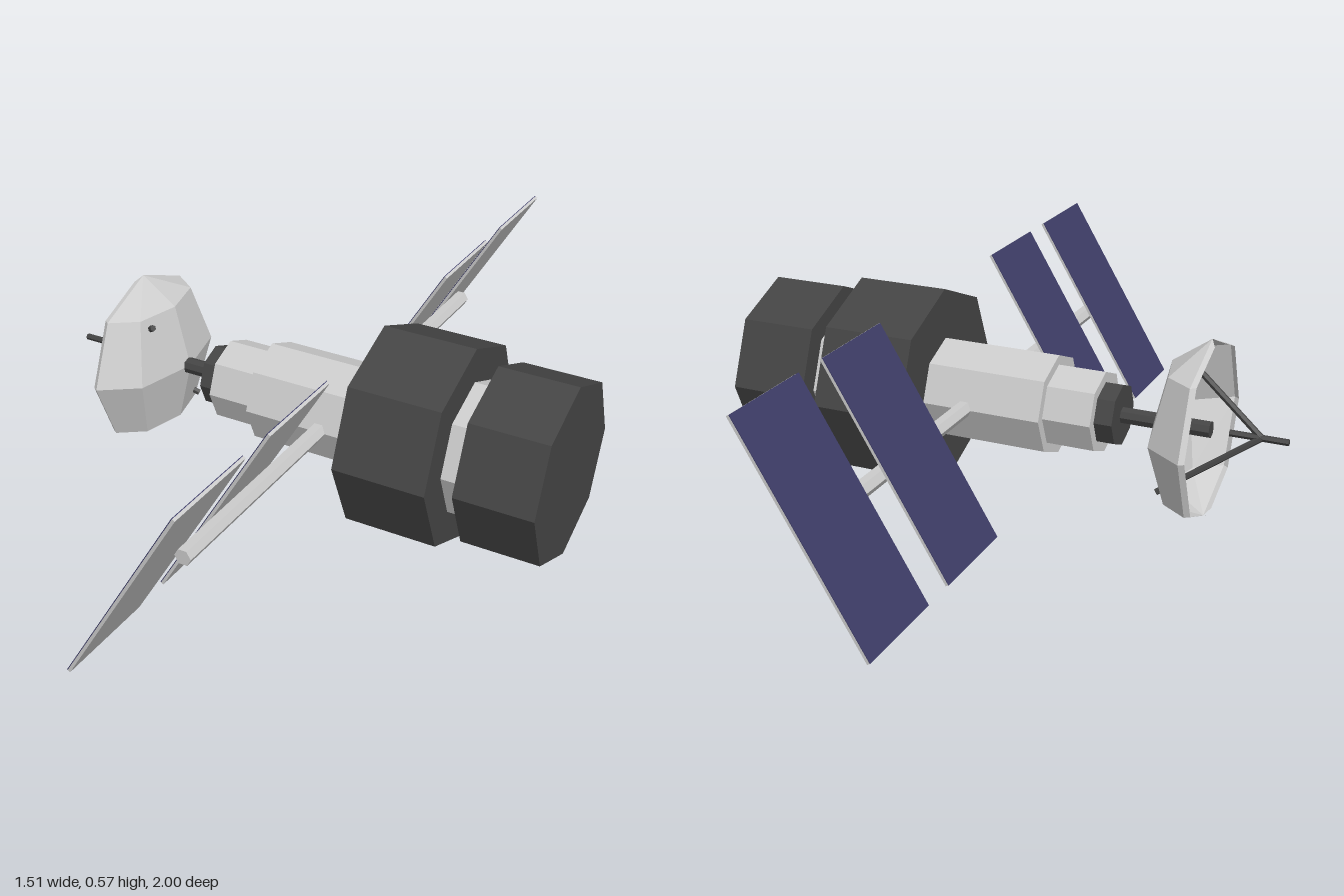
import * as THREE from 'three';

const AXIS_Y = 0.283;
const mat = (color, side = THREE.FrontSide) =>
  new THREE.MeshStandardMaterial({ color, side, flatShading: true });
const grey = mat(0xcccccc);
const dark = mat(0x444444);
const blue = mat(0x3d3c66);

function add(parent, name, geometry, material) {
  const mesh = new THREE.Mesh(geometry, material);
  mesh.name = name;
  parent.add(mesh);
  return mesh;
}

// Prism along x from x0 to x1, with corners pointing up and sideways
function drum(parent, name, x0, x1, radius, material, sides = 8) {
  const g = new THREE.CylinderGeometry(radius, radius, x1 - x0, sides);
  g.rotateZ(Math.PI / 2).translate((x0 + x1) / 2, 0, 0);
  return add(parent, name, g, material);
}

// Thin bar between two points
function bar(parent, name, a, b, radius, material) {
  const dir = b.clone().sub(a);
  const m = add(parent, name, new THREE.CylinderGeometry(radius, radius, dir.length(), 6), material);
  m.position.copy(a).addScaledVector(dir, 0.5);
  m.quaternion.setFromUnitVectors(new THREE.Vector3(0, 1, 0), dir.normalize());
  return m;
}

// Coarse half ellipsoid with upright poles, running a little past its middle to a flat-cut rim
function dishGeometry(cx, depth, radius, rimX) {
  const point = (lat, lon) => new THREE.Vector3(
    cx + depth * Math.cos(lat) * Math.cos(lon),
    radius * Math.sin(lat),
    radius * Math.cos(lat) * Math.sin(lon));
  const step = Math.PI / 4;
  const rows = [];
  for (let i = -2; i <= 2; i++) {
    const row = [];
    for (let j = -3; j <= 3; j++) {
      if (Math.abs(j) < 3) {
        row.push(point(i * step, j * step));
        continue;
      }
      // Rim corner: where the next edge meets the cut
      const inner = point(i * step, Math.sign(j) * 2 * step);
      const outer = point(Math.abs(i) === 2 ? Math.sign(i) * step : i * step, j * step);
      row.push(inner.clone().lerp(outer, (rimX - inner.x) / (outer.x - inner.x)));
    }
    rows.push(row);
  }
  const pos = [];
  const tri = (...p) => p.forEach((v) => pos.push(v.x, v.y, v.z));
  for (let i = 0; i < 4; i++) {
    for (let j = 0; j < 6; j++) {
      const a = rows[i][j], b = rows[i][j + 1], c = rows[i + 1][j + 1], d = rows[i + 1][j];
      if (a.distanceTo(b) > 1e-5) tri(a, c, b);
      if (c.distanceTo(d) > 1e-5) tri(a, d, c);
    }
  }
  const g = new THREE.BufferGeometry();
  g.setAttribute('position', new THREE.Float32BufferAttribute(pos, 3));
  g.computeVertexNormals();
  return g;
}

export function createModel() {
  const model = new THREE.Group();
  model.name = 'satellite';
  const craft = new THREE.Group();
  craft.name = 'craft';
  craft.position.y = AXIS_Y;
  model.add(craft);

  // Stepped octagonal body
  drum(craft, 'endModule', 0.54, 0.757, 0.25, dark);
  drum(craft, 'moduleCollar', 0.48, 0.54, 0.187, grey);
  drum(craft, 'mainModule', 0.22, 0.48, 0.283, dark);
  drum(craft, 'body', -0.12, 0.22, 0.142, grey);
  drum(craft, 'noseSection', -0.255, -0.12, 0.115, grey);
  drum(craft, 'noseRing', -0.305, -0.255, 0.086, dark);
  drum(craft, 'dishNeck', -0.55, -0.305, 0.023, dark);

  // Dish antenna with its feed and struts
  add(craft, 'dish', dishGeometry(-0.541, 0.147, 0.25, -0.555), mat(0xcccccc, THREE.DoubleSide));
  drum(craft, 'feed', -0.757, -0.6, 0.009, dark, 6);
  for (const s of [1, -1]) {
    bar(craft, 'feedStrut', new THREE.Vector3(-0.685, 0, 0),
      new THREE.Vector3(-0.44, s * 0.155, s * 0.105), 0.009, dark);
  }

  // Solar wings on both sides
  const tilt = Math.atan2(0.54, 0.325);
  for (const s of [1, -1]) {
    const wing = new THREE.Group();
    wing.name = s > 0 ? 'frontWing' : 'backWing';
    craft.add(wing);

    const boom = new THREE.CylinderGeometry(0.023, 0.023, 0.68, 6);
    boom.rotateY(Math.PI / 6).rotateX(Math.PI / 2).translate(0.1, 0, s * 0.44);
    add(wing, 'boom', boom, grey);

    for (const z of [0.475, 0.86]) {
      const panel = new THREE.Group();
      panel.name = 'solarPanel';
      panel.position.set(0.077, 0.016, s * z);
      panel.rotation.z = tilt;
      wing.add(panel);
      add(panel, 'panelBacking', new THREE.BoxGeometry(0.63, 0.008, 0.28), grey);
      add(panel, 'solarCells', new THREE.BoxGeometry(0.63, 0.002, 0.28), blue).position.y = 0.005;
    }
  }
  return model;
}
